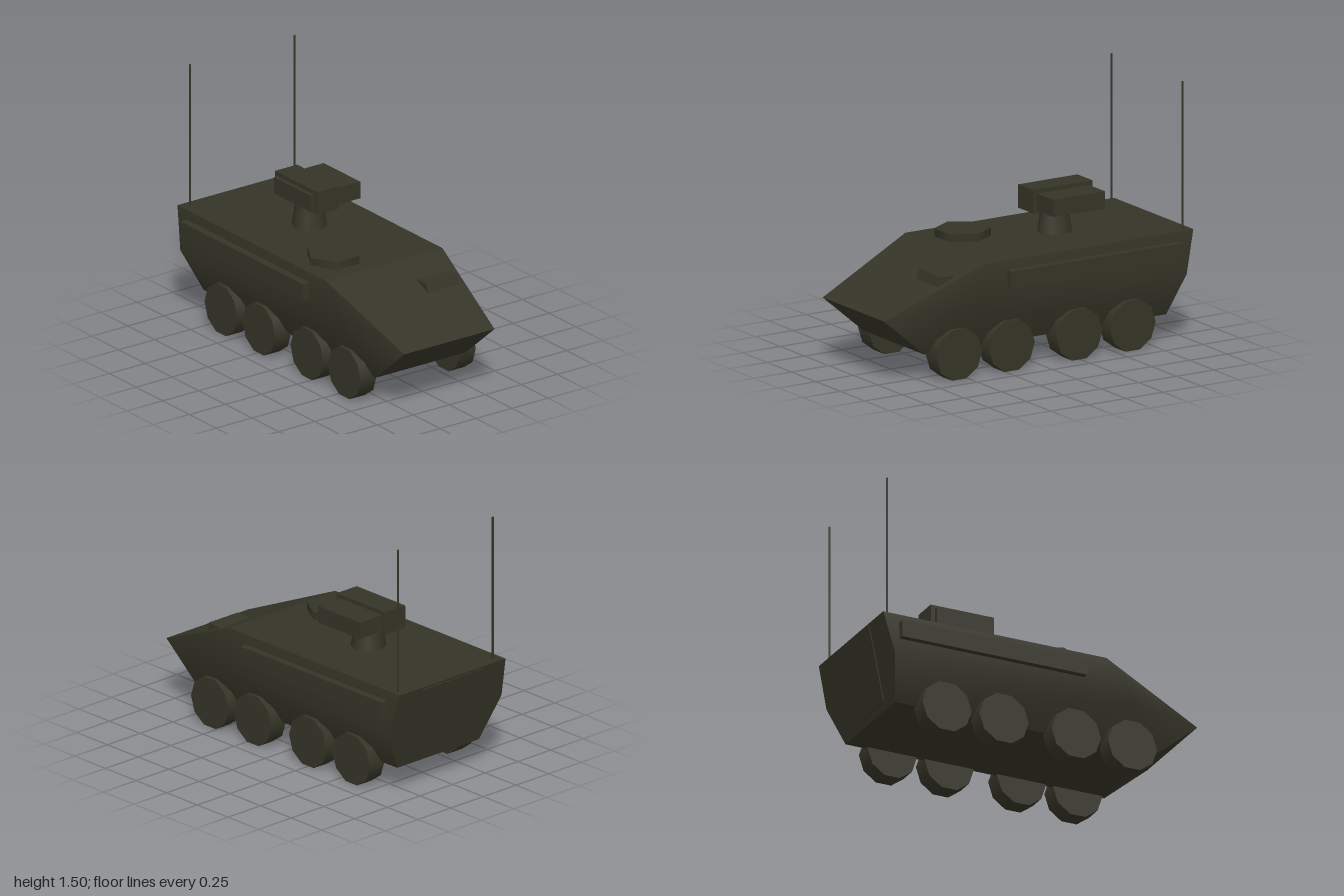
import * as THREE from 'three';

export function createModel() {
  const model = new THREE.Group();
  model.name = 'armouredCarrier';
  const olive = new THREE.MeshStandardMaterial({ color: 0x343427 });
  olive.name = 'dark olive';

  const add = (name, geo, x = 0, y = 0, z = 0) => {
    const mesh = new THREE.Mesh(geo, olive);
    mesh.name = name;
    mesh.position.set(x, y, z);
    model.add(mesh);
    return mesh;
  };
  // Box from its two extreme corners
  const box = (name, x0, x1, y0, y1, z0, z1) =>
    add(name, new THREE.BoxGeometry(x1 - x0, y1 - y0, z1 - z0),
      (x0 + x1) / 2, (y0 + y1) / 2, (z0 + z1) / 2);

  // Hull corners, half of the body
  const P = {
    topFront: [0.405, 0.645, 0.39], topRear: [0.405, 0.645, -1],
    midFront: [0.43, 0.4, 0.56], midRear: [0.43, 0.4, -0.94],
    lowFront: [0.312, 0.15, 0.73], lowRear: [0.312, 0.15, -0.88],
    nose: [0.314, 0.38, 1],
  };
  const at = (key, s) => new THREE.Vector3(P[key][0] * s, P[key][1], P[key][2]);
  const centre = new THREE.Vector3(0, 0.4, 0);

  // Panel from points and triangles, each turned to face outwards
  const panel = (name, pts, tris) => {
    const index = [];
    for (const [a, b, c] of tris) {
      const n = pts[b].clone().sub(pts[a]).cross(pts[c].clone().sub(pts[a]));
      const out = n.dot(pts[a].clone().sub(centre)) > 0;
      index.push(a, out ? b : c, out ? c : b);
    }
    const geo = new THREE.BufferGeometry().setFromPoints(pts);
    geo.setIndex(index);
    geo.computeVertexNormals();
    add(name, geo);
  };
  // Flat plate spanning the hull between mirrored corner rows
  const plate = (name, keys) => {
    const pts = keys.flatMap((k) => [at(k, 1), at(k, -1)]);
    const tris = [];
    for (let i = 0; i < keys.length - 1; i++) {
      const a = i * 2;
      tris.push([a, a + 1, a + 3], [a, a + 3, a + 2]);
    }
    panel(name, pts, tris);
  };
  plate('roof', ['topRear', 'topFront']);
  plate('hood', ['topFront', 'nose']);
  plate('lowerNose', ['nose', 'lowFront']);
  plate('belly', ['lowFront', 'lowRear']);
  plate('rearPlate', ['lowRear', 'midRear', 'topRear']);

  for (const s of [-1, 1]) {
    const side = s > 0 ? 'left' : 'right';
    // Smoothly shaded hull flank
    const keys = ['topFront', 'topRear', 'midFront', 'midRear', 'lowFront', 'lowRear', 'nose'];
    panel(side + 'Flank', keys.map((k) => at(k, s)),
      [[0, 1, 3], [0, 3, 2], [2, 3, 5], [2, 5, 4], [0, 2, 6], [2, 4, 6]]);

    // Side stowage rail
    const rail = new THREE.BoxGeometry(0.065, 0.1, 1.15);
    add(side + 'SideRail', rail, s * 0.4245, 0.54, -0.33);

    // Four ten-sided wheels
    [0.555, 0.205, -0.245, -0.6].forEach((z, i) => {
      const geo = new THREE.CylinderGeometry(0.153, 0.153, 0.11, 10);
      geo.rotateY(Math.PI / 2);
      geo.rotateZ(Math.PI / 2);
      // Put flats at the top and bottom
      geo.rotateX(Math.PI / 10 * (geo.attributes.position.getZ(0) ** 2 > 0.02 ? 0 : 1));
      add(side + 'Wheel' + (i + 1), geo, s * 0.345, 0.1455, z);
    });

    // Whip antenna
    add(side + 'Antenna', new THREE.CylinderGeometry(0.006, 0.006, 0.86, 8),
      s > 0 ? 0.37 : -0.354, 1.067, -0.95);
  }

  // Rear door lying on the sloped plate
  const doorShape = new THREE.Shape([
    new THREE.Vector2(-0.2, -0.22), new THREE.Vector2(0.2, -0.22),
    new THREE.Vector2(0.226, 0.23), new THREE.Vector2(-0.226, 0.23)]);
  const doorGeo = new THREE.ExtrudeGeometry(doorShape, { depth: 0.009, bevelEnabled: false });
  doorGeo.translate(0, 0, -0.006);
  add('rearDoor', doorGeo, 0, 0.41, -0.943).rotation.x = -0.238;

  // Hexagonal roof hatch
  const hatch = new THREE.CylinderGeometry(0.158, 0.158, 0.06, 6);
  hatch.rotateY(Math.PI / 6);
  add('roofHatch', hatch, -0.178, 0.66, 0.157);

  // Driver's vision block, a wedge on the hood
  const wedge = new THREE.Shape([
    new THREE.Vector2(0.655, 0.52), new THREE.Vector2(0.633, 0.586),
    new THREE.Vector2(0.53, 0.578), new THREE.Vector2(0.53, 0.52)]);
  const block = new THREE.ExtrudeGeometry(wedge, { depth: 0.22, bevelEnabled: false });
  block.rotateY(-Math.PI / 2);
  add('visionBlock', block, 0.33, 0, 0);

  // Turret on a tapered pedestal
  add('turretPedestal', new THREE.CylinderGeometry(0.078, 0.102, 0.16, 8), 0.016, 0.715, -0.331);
  box('turretBody', -0.07, 0.083, 0.787, 0.922, -0.538, -0.143);
  box('turretPods', -0.096, 0.25, 0.8, 0.899, -0.513, -0.169);

  return model;
}
